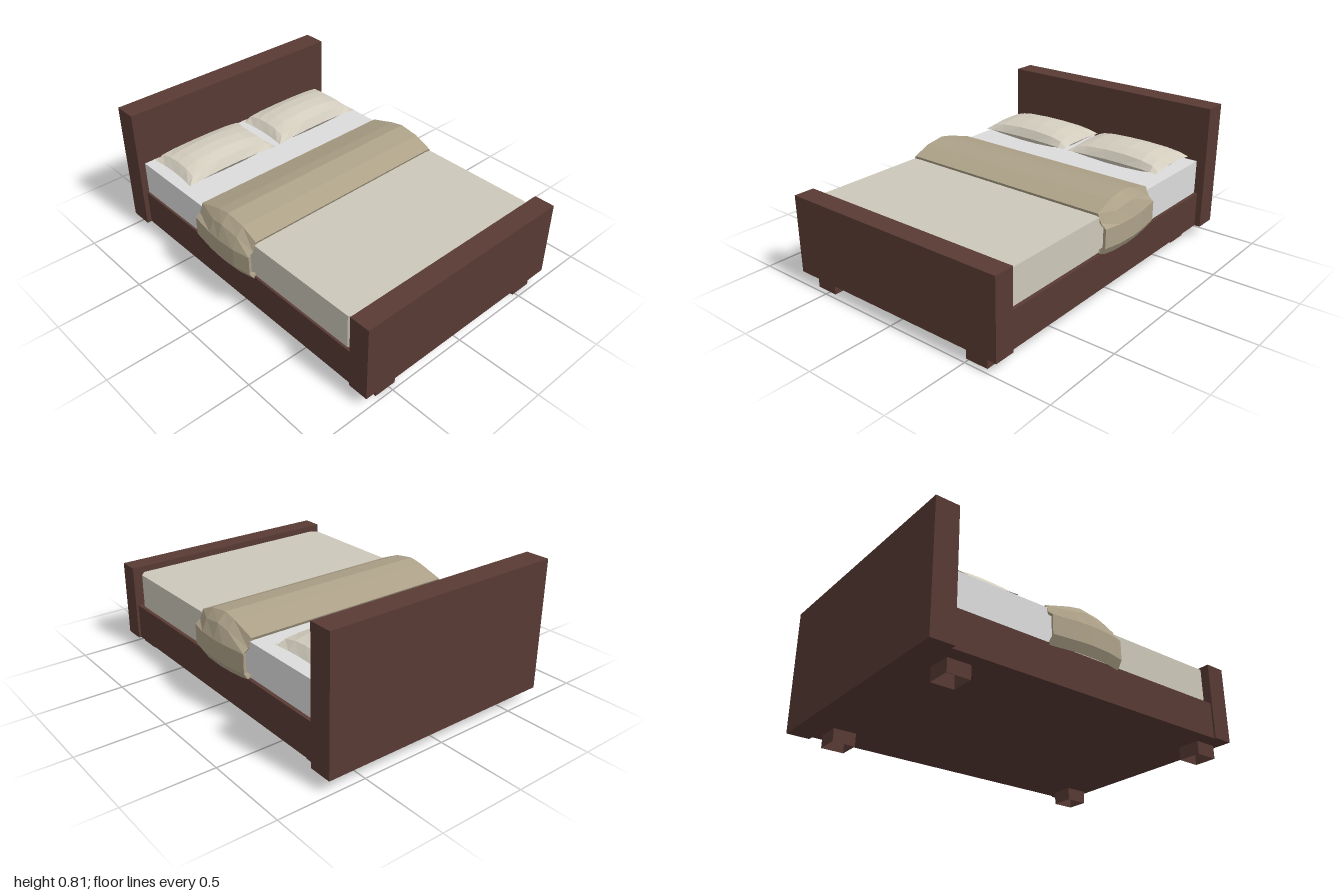
import * as THREE from 'three';

// Flat-shaded sheet through rows of [x, y, z] points
function sheet(rows, flip = false) {
  const pos = [];
  for (let r = 0; r < rows.length - 1; r++) {
    for (let c = 0; c < rows[r].length - 1; c++) {
      const a = rows[r][c], b = rows[r + 1][c], d = rows[r][c + 1], e = rows[r + 1][c + 1];
      const quad = flip ? [a, d, b, d, e, b] : [a, b, d, d, b, e];
      quad.forEach((p) => pos.push(...p));
    }
  }
  const g = new THREE.BufferGeometry();
  g.setAttribute('position', new THREE.Float32BufferAttribute(pos, 3));
  g.computeVertexNormals();
  return g;
}

export function createModel() {
  const group = new THREE.Group();
  const mat = (name, color, side = THREE.FrontSide) =>
    new THREE.MeshStandardMaterial({ name, color, side });
  const wood = mat('dark wood', 0x583a33, THREE.DoubleSide);
  const white = mat('mattress white', 0xdcdcdc);
  const linen = mat('blanket linen', 0xccc7b9);
  const cream = mat('pillow cream', 0xd3cdbe, THREE.DoubleSide);
  const tan = mat('throw tan', 0xada188, THREE.DoubleSide);

  const add = (name, geometry, material) => {
    const m = new THREE.Mesh(geometry, material);
    m.name = name;
    group.add(m);
    return m;
  };
  const box = (name, material, x0, x1, y0, y1, z0, z1) =>
    add(name, new THREE.BoxGeometry(x1 - x0, y1 - y0, z1 - z0), material)
      .position.set((x0 + x1) / 2, (y0 + y1) / 2, (z0 + z1) / 2);

  // Frame
  box('headboard', wood, -0.7, 0.715, 0.075, 0.815, -1, -0.865);
  box('footboard', wood, -0.683, 0.695, 0.075, 0.523, 0.88, 1);
  box('bedBase', wood, -0.672, 0.68, 0.075, 0.285, -0.865, 0.88);

  // Short hollow square legs
  for (const x of [-0.523, 0.55]) {
    for (const z of [-0.768, 0.905]) {
      const g = new THREE.CylinderGeometry(0.094, 0.094, 0.075, 4, 1, true).toNonIndexed();
      g.rotateY(Math.PI / 4);
      g.computeVertexNormals();
      add('leg', g, wood).position.set(x, 0.0375, z);
    }
  }

  // Mattress, with the blanket over its foot end (clipped corners)
  box('mattress', white, -0.659, 0.659, 0.285, 0.486, -0.865, -0.1);
  const plan = new THREE.Shape([
    [-0.659, 0.1], [-0.659, -0.84], [-0.625, -0.88], [0.625, -0.88], [0.659, -0.84], [0.659, 0.1],
  ].map(([x, y]) => new THREE.Vector2(x, y)));
  const blanket = new THREE.ExtrudeGeometry(plan, { depth: 0.201, bevelEnabled: false });
  blanket.rotateX(-Math.PI / 2);
  add('blanket', blanket, linen).position.y = 0.285;

  // Folded throw: an arched strip hanging over both sides, edges tucked under
  const throwRow = (z, h, w, tuck) => {
    const half = [
      [0.67, 0.29], [w - 0.03 - tuck, 0.272 + tuck], [w - tuck, 0.32], [w - tuck, 0.43],
      [w - 0.03 - tuck, h - 0.05], [0.65 - tuck, h - tuck],
    ];
    return [
      ...half.map(([x, y]) => [-x, y, z]),
      ...half.reverse().map(([x, y]) => [x, y, z]),
    ];
  };
  add('throwBlanket', sheet([
    throwRow(-0.295, 0.503, 0.702, 0.022),
    throwRow(-0.305, 0.503, 0.702, 0),
    throwRow(-0.15, 0.55, 0.723, 0),
    throwRow(-0.07, 0.565, 0.728, 0),
    throwRow(0.05, 0.547, 0.723, 0),
    throwRow(0.155, 0.503, 0.702, 0),
    throwRow(0.145, 0.503, 0.702, 0.022),
  ]), tan);

  // Pillows: pinched seam, domed top, flattened underside
  const us = [-1, -0.87, -0.62, -0.2, 0.2, 0.62, 0.87, 1];
  const vs = [-1, -0.84, -0.45, 0, 0.45, 0.84, 1];
  const pillowHalf = (top) => sheet(vs.map((v) => us.map((u) => {
    const f = Math.max(0, (1 - u * u) * (1 - v * v));
    const y = top ? 0.52 + 0.08 * f ** 0.38 : 0.52 - 0.032 * Math.min(1, f * 4);
    return [
      0.304 * u * (1 - 0.05 * (1 - v * v)),
      y,
      0.183 * v * (1 - 0.11 * (1 - u * u)),
    ];
  })), !top);
  for (const x of [-0.32, 0.318]) {
    add('pillowTop', pillowHalf(true), cream).position.set(x, 0, -0.638);
    add('pillowUnderside', pillowHalf(false), cream).position.set(x, 0, -0.638);
  }
  return group;
}
